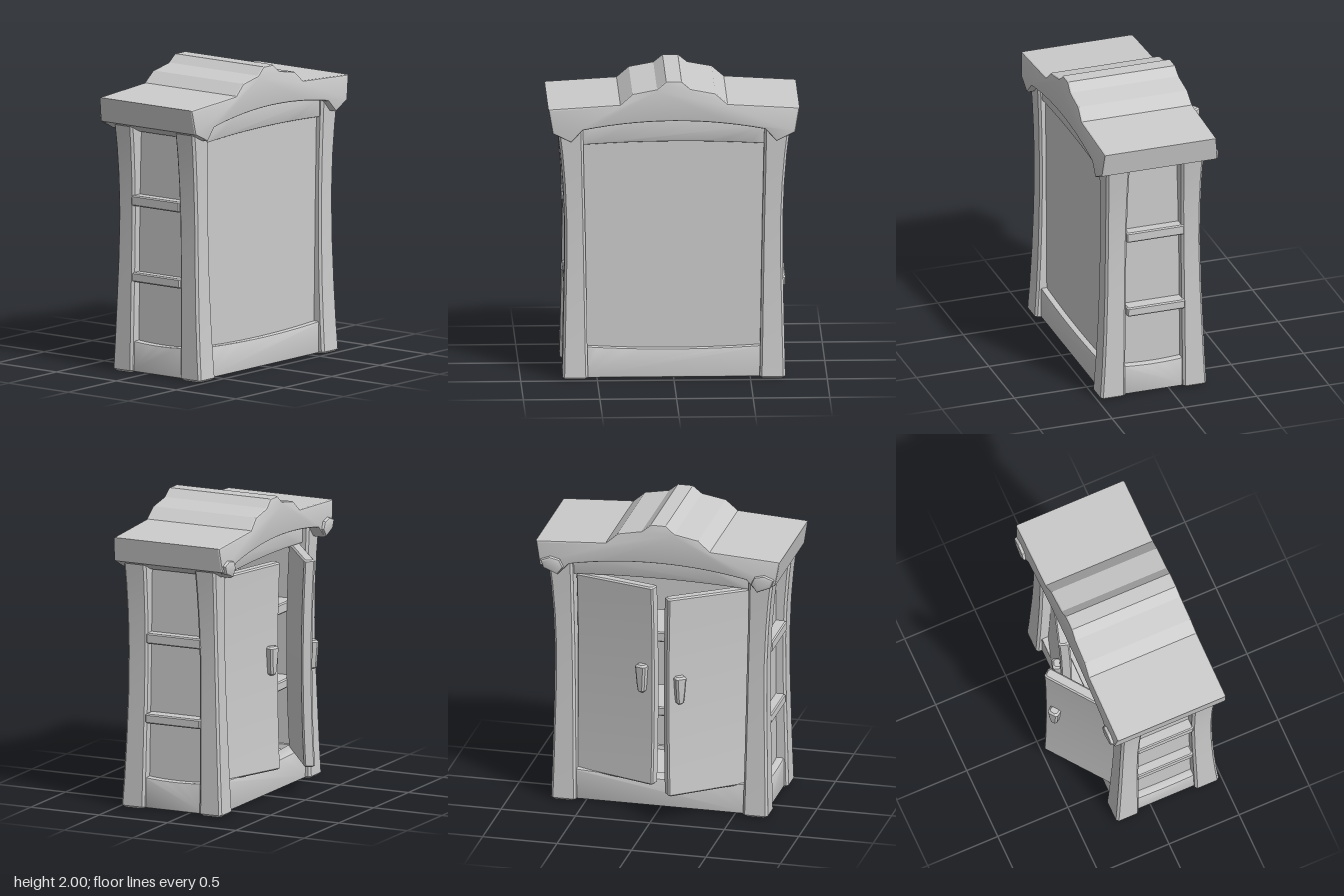
import * as THREE from 'three';
import { toCreasedNormals } from 'three/addons/utils/BufferGeometryUtils.js';

const wood = new THREE.MeshStandardMaterial({ color: 0xcccccc });
wood.name = 'pale grey wood';

// Chamfered post through levels [y, x0, x1, z0, z1], listed bottom to top
function loft(levels, c = 0.012) {
  const inset = ([y, x0, x1, z0, z1], dy) => [y + dy, x0 + c, x1 - c, z0 + c, z1 - c];
  const first = levels[0], last = levels[levels.length - 1];
  const shift = (l, dy) => [l[0] + dy, ...l.slice(1)];
  const all = [inset(first, 0), shift(first, c), ...levels.slice(1, -1), shift(last, -c), inset(last, 0)];
  const pos = [], idx = [];
  for (const [y, x0, x1, z0, z1] of all) {
    const ring = [[x1, z0 + c], [x1, z1 - c], [x1 - c, z1], [x0 + c, z1],
      [x0, z1 - c], [x0, z0 + c], [x0 + c, z0], [x1 - c, z0]];
    for (const [x, z] of ring) pos.push(x, y, z);
  }
  const top = (all.length - 1) * 8;
  for (let l = 0; l < top; l += 8) {
    for (let i = 0; i < 8; i++) {
      const a = l + i, b = l + (i + 1) % 8;
      idx.push(a, a + 8, b, b, a + 8, b + 8);
    }
  }
  for (let i = 1; i < 7; i++) idx.push(0, i, i + 1, top, top + i + 1, top + i);
  const g = new THREE.BufferGeometry();
  g.setAttribute('position', new THREE.Float32BufferAttribute(pos, 3));
  g.setIndex(idx);
  return toCreasedNormals(g, 0.5);
}

const block = (x0, x1, y0, y1, z0, z1, c = 0.008) => loft([[y0, x0, x1, z0, z1], [y1, x0, x1, z0, z1]], c);

// Outline in x and y, extruded from z0 to z1 with a small bevel
function slab(points, z0, z1, b = 0.01) {
  const shape = new THREE.Shape(points.map(([x, y]) => new THREE.Vector2(x, y)));
  const g = new THREE.ExtrudeGeometry(shape, {
    depth: z1 - z0 - 2 * b, bevelEnabled: true, bevelSize: b, bevelThickness: b, bevelOffset: -b, bevelSegments: 2,
  });
  return g.translate(0, 0, z0 + b);
}

// Points along a shallow arch from x = -w to x = w
function arch(w, yEnd, yMid, n = 12) {
  return Array.from({ length: n + 1 }, (_, i) => {
    const t = (i / n) * 2 - 1;
    return [w * t, yMid + (yEnd - yMid) * t * t];
  });
}

export function createModel() {
  const model = new THREE.Group();
  const add = (name, geometry, parent = model) => {
    const m = new THREE.Mesh(geometry, wood);
    m.name = name;
    parent.add(m);
    return m;
  };

  // Four flared corner posts: [y, inner x, outer x, front inner z, front outer z, back outer z, back inner z]
  const post = [
    [0, 0.56, 0.728, 0.31, 0.48, -0.252, -0.09],
    [0.2, 0.564, 0.724, 0.308, 0.467, -0.243, -0.089],
    [0.45, 0.568, 0.719, 0.304, 0.454, -0.233, -0.088],
    [0.75, 0.573, 0.713, 0.299, 0.444, -0.222, -0.086],
    [1.05, 0.578, 0.712, 0.295, 0.44, -0.215, -0.083],
    [1.3, 0.584, 0.722, 0.292, 0.441, -0.214, -0.078],
    [1.5, 0.588, 0.738, 0.29, 0.445, -0.217, -0.073],
    [1.7, 0.592, 0.76, 0.288, 0.45, -0.222, -0.068],
  ];
  for (const [side, s] of [['left', 1], ['right', -1]]) {
    const xs = (p) => (s > 0 ? [p[1], p[2]] : [-p[2], -p[1]]);
    add(side + 'FrontPost', loft(post.map((p) => [p[0], ...xs(p), p[3], p[4]]), 0.015));
    add(side + 'BackPost', loft(post.map((p) => [p[0], ...xs(p), p[5], p[6]]), 0.015));

    // Recessed side panel with a low rail
    const span = (a, b) => (s > 0 ? [a, b] : [-b, -a]);
    add(side + 'SidePanel', block(...span(0.62, 0.65), 0.01, 1.68, -0.12, 0.33));
    const rail = slab([[-0.12, 0.005], [0.33, 0.005], ...arch(0.225, 0.212, 0.2, 8).reverse().map(([x, y]) => [x + 0.105, y])], 0.6, 0.7);
    rail.rotateY(-Math.PI / 2); // outline x becomes z, depth becomes -x
    if (s > 0) rail.translate(1.3, 0, 0);
    add(side + 'SideRail', toCreasedNormals(rail, 0.5));

    // Carved boss at the rear corner of the cornice
    const boss = [[0.63, 1.66], [0.67, 1.605], [0.765, 1.645], [0.785, 1.7], [0.72, 1.725], [0.655, 1.71]];
    const pts = s > 0 ? boss : boss.map(([x, y]) => [-x, y]).reverse();
    add(side + 'CorniceBoss', toCreasedNormals(slab(pts, -0.318, -0.26, 0.015), 0.5));
  }

  // Shelves whose ends show as bars between the posts
  add('lowerShelf', block(-0.725, 0.725, 0.592, 0.655, -0.1, 0.3)).rotation.z = -0.017;
  add('upperShelf', block(-0.722, 0.722, 1.11, 1.18, -0.1, 0.3));

  // Front panel, base and the arched rails, front and back
  add('frontPanel', block(-0.61, 0.61, 0.1, 1.7, 0.375, 0.4));
  add('baseFloor', block(-0.63, 0.63, 0.005, 0.17, -0.17, 0.41));
  const lowRail = [[-0.6, 0.005], [0.6, 0.005], ...arch(0.6, 0.217, 0.197).reverse()];
  const topRail = [...arch(0.61, 1.565, 1.585), ...arch(0.61, 1.7, 1.76).reverse()];
  add('frontBottomRail', toCreasedNormals(slab(lowRail, 0.36, 0.44), 0.5));
  add('frontTopRail', toCreasedNormals(slab(topRail, 0.36, 0.425), 0.5));
  add('backBottomRail', toCreasedNormals(slab(lowRail, -0.215, -0.09), 0.5));
  add('backTopRail', toCreasedNormals(slab(topRail, -0.18, -0.09), 0.5));

  // Crested cornice, narrowing in depth towards the top
  const half = [[0.05, 2.0], [0.11, 1.95], [0.27, 1.92], [0.35, 1.85], [0.82, 1.822], [0.792, 1.66], [0.67, 1.6]];
  const outline = [
    ...half.map(([x, y]) => [-x, y]),
    ...arch(0.595, 1.68, 1.737, 14),
    ...half.slice().reverse(),
  ];
  const roof = slab(outline, -0.5, 0.5, 0.014);
  const p = roof.attributes.position;
  for (let i = 0; i < p.count; i++) {
    const k = 0.404 - (p.getY(i) - 1.6) * 0.075;
    p.setZ(i, 0.1 + p.getZ(i) * 2 * k);
  }
  add('cornice', toCreasedNormals(roof, 0.45));

  // Two rear doors standing ajar, slightly bowed along their height
  for (const [side, s, angle] of [['right', -1, 0.645], ['left', 1, -0.297]]) {
    const door = new THREE.Group();
    door.name = side + 'Door';
    const levels = Array.from({ length: 9 }, (_, i) => {
      const t = i / 4 - 1, bow = 0.018 * (1 - t * t);
      const [x0, x1] = s < 0 ? [0, 0.58] : [-0.58, 0];
      return [0.2 + i * 0.171, x0, x1, -0.036 + bow, 0.036 + bow];
    });
    const panel = loft(levels, 0.01);
    // The top edge rises and the bottom edge dips towards the meeting side
    const q = panel.attributes.position;
    for (let i = 0; i < q.count; i++) {
      const y = q.getY(i), u = Math.abs(q.getX(i)) / 0.58;
      q.setY(i, y + (y > 0.9 ? 0.012 : -0.006) * u);
    }
    add(side + 'DoorPanel', panel, door);
    // Tapered pull handle
    const hx = -s * 0.5;
    add(side + 'DoorHandle', loft([
      [0.835, hx - 0.024, hx + 0.024, -0.058, 0],
      [0.9, hx - 0.03, hx + 0.03, -0.062, 0],
      [1.03, hx - 0.038, hx + 0.038, -0.068, 0],
    ], 0.012), door);
    door.position.set(s * 0.57, 0, -0.13);
    door.rotation.y = angle;
    model.add(door);
  }
  return model;
}
